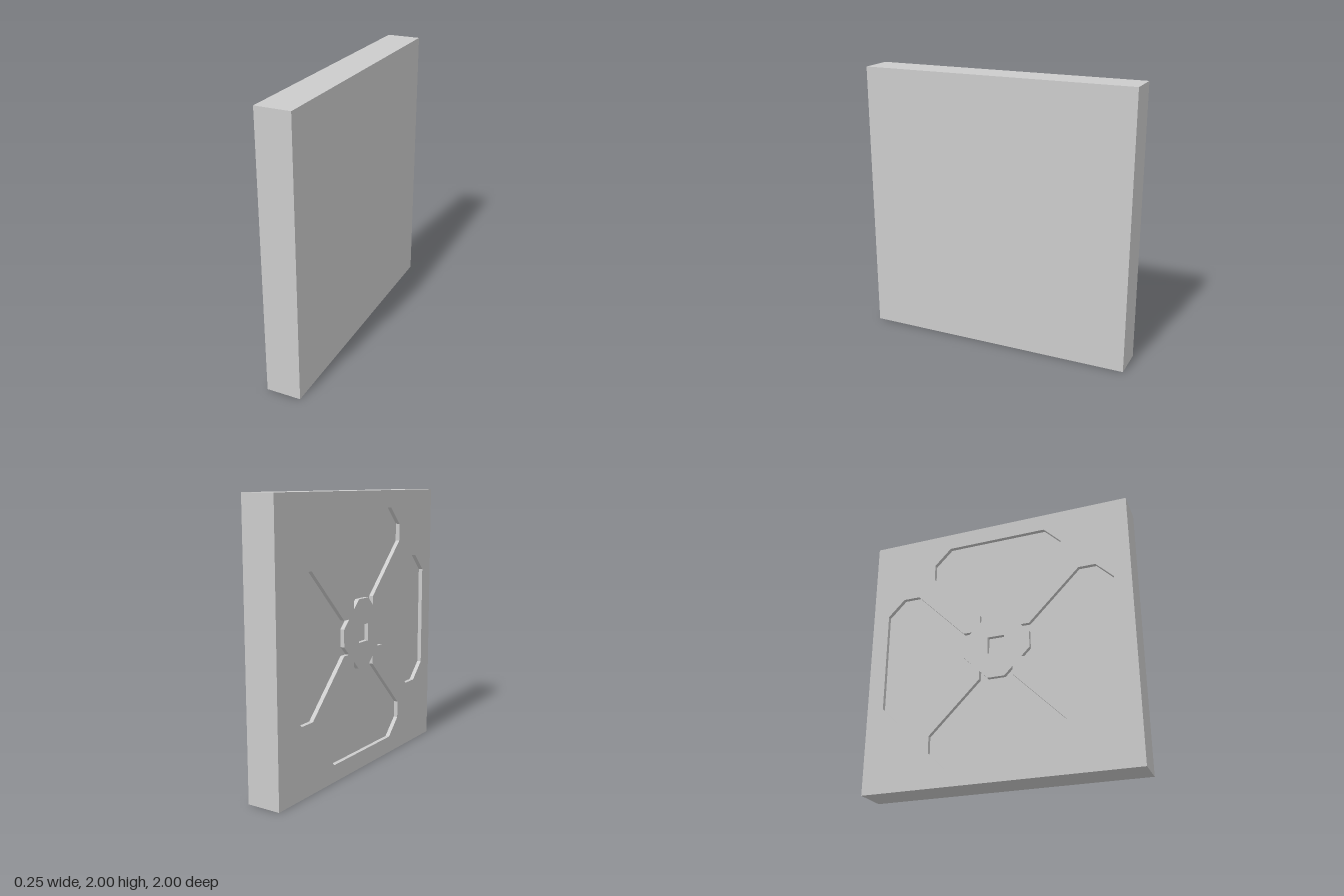
import * as THREE from 'three';

const HALF_THICK = 0.125; // half the slab thickness
const RECESS = 0.03125;   // depth of the carved pockets

// One pocket, opening away from the hub along +v, with chamfered outer corners
// and an inner end that wraps around the octagonal hub.
const halfPocket = [
  [0.0625, 0.25], [0.125, 0.1875], [0.125, 0.25],
  [0.5, 0.625], [0.5, 0.75], [0.375, 0.875],
];
const pocket = [
  ...halfPocket,
  ...halfPocket.map(([u, v]) => [-u, v]).reverse(),
];

// Turn a list of points by quarter turns about the panel centre
function turned(points, quarters) {
  return points.map(([u, v]) => {
    let p = [u, v];
    for (let i = 0; i < quarters; i++) p = [-p[1], p[0]];
    return new THREE.Vector2(p[0], p[1]);
  });
}

function square(half) {
  return [[-half, -half], [half, -half], [half, half], [-half, half]];
}

export function createModel() {
  const group = new THREE.Group();
  group.name = 'carvedPanel';
  const material = new THREE.MeshStandardMaterial({ color: 0xcccccc, flatShading: true });

  // Solid slab behind the carving; its outer face is the pocket floor
  const slabThick = 2 * HALF_THICK - RECESS;
  const slab = new THREE.Mesh(new THREE.BoxGeometry(slabThick, 2, 2), material);
  slab.name = 'slab';
  slab.position.set(RECESS / 2, 1, 0);
  group.add(slab);

  // Carved face: four pockets around a hub with a small square socket
  const face = new THREE.Shape(turned(square(1), 0));
  for (let q = 0; q < 4; q++) face.holes.push(new THREE.Path(turned(pocket, q)));
  face.holes.push(new THREE.Path(turned(square(0.0625), 0)));

  const faceGeometry = new THREE.ExtrudeGeometry(face, { depth: RECESS, bevelEnabled: false });
  faceGeometry.rotateY(-Math.PI / 2); // extrude towards -x
  const carvedFace = new THREE.Mesh(faceGeometry, material);
  carvedFace.name = 'carvedFace';
  carvedFace.position.set(RECESS - HALF_THICK, 1, 0);
  group.add(carvedFace);

  return group;
}
